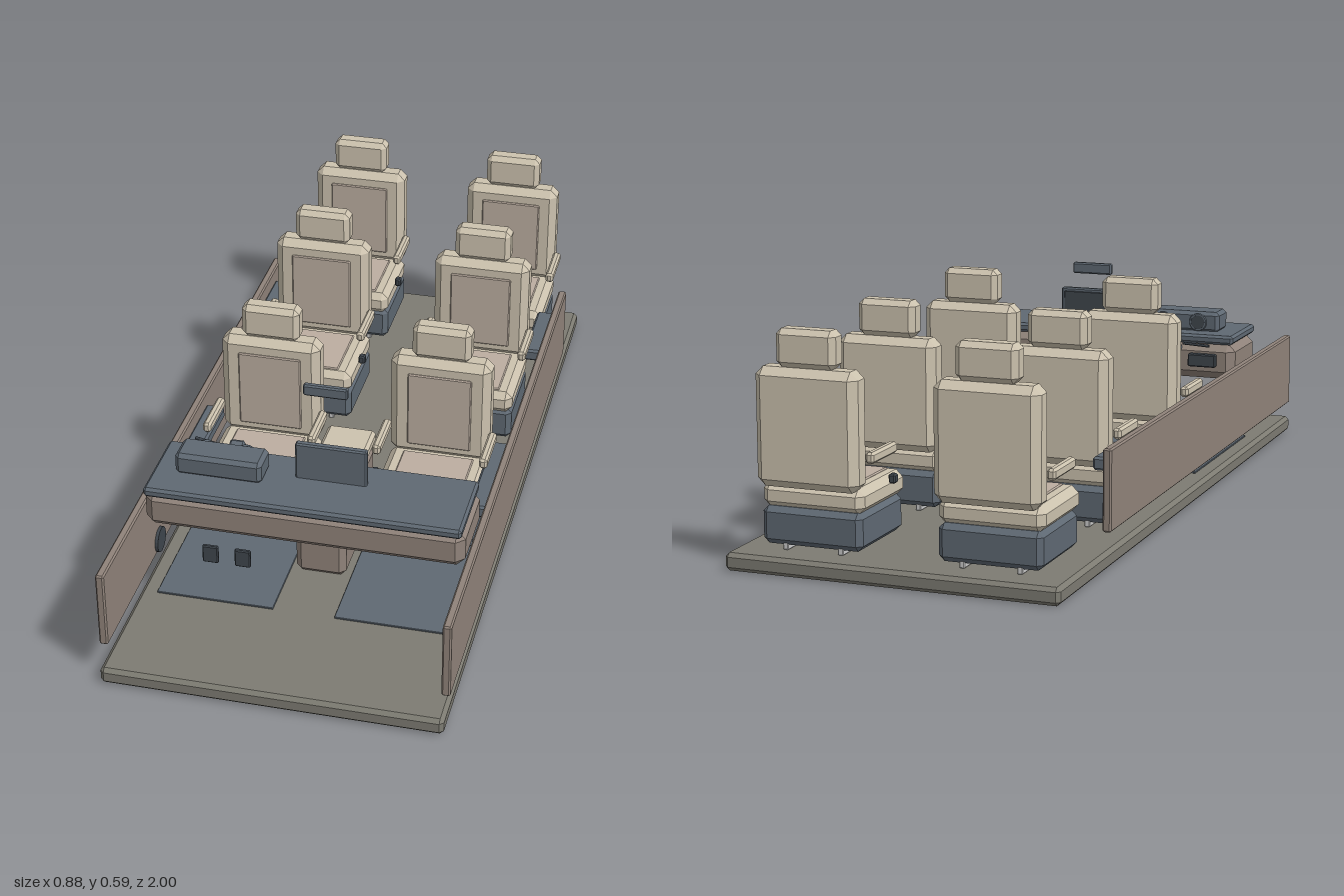
import * as THREE from 'three';
import { ConvexGeometry } from 'three/addons/geometries/ConvexGeometry.js';

const mat = (color) => new THREE.MeshStandardMaterial({ color, flatShading: true });
const floorMat = mat(0x7d7b72), cream = mat(0xcdc3af), insertMat = mat(0xbcaea1);
const brown = mat(0x90837a), slate = mat(0x5f6973), dark = mat(0x3f464d), metal = mat(0xcccccc);

// Box with every edge cut at 45 degrees, given by its min and max on each axis
function block(parent, name, material, [x0, x1], [y0, y1], [z0, z1], c = 0.004) {
  const h = [(x1 - x0) / 2, (y1 - y0) / 2, (z1 - z0) / 2];
  const pts = [];
  for (const sx of [-1, 1]) for (const sy of [-1, 1]) for (const sz of [-1, 1]) {
    for (let full = 0; full < 3; full++) {
      const d = h.map((v, i) => (i === full ? v : v - c));
      pts.push(new THREE.Vector3(sx * d[0], sy * d[1], sz * d[2]));
    }
  }
  const mesh = new THREE.Mesh(new ConvexGeometry(pts), material);
  mesh.position.set((x0 + x1) / 2, (y0 + y1) / 2, (z0 + z1) / 2);
  mesh.name = name;
  parent.add(mesh);
  return mesh;
}

function disc(parent, name, material, r, depth, x, y, z, axis) {
  const geo = new THREE.CylinderGeometry(r, r, depth, 20);
  if (axis === 'x') geo.rotateZ(Math.PI / 2);
  if (axis === 'z') geo.rotateX(Math.PI / 2);
  const mesh = new THREE.Mesh(geo, material);
  mesh.name = name;
  mesh.position.set(x, y, z);
  parent.add(mesh);
  return mesh;
}

// One seat, its origin on the floor below the backrest; side is the sign of x
function seat(side) {
  const g = new THREE.Group();
  g.name = 'seat';
  for (const x of [-0.073, 0.073])
    block(g, 'seatRail', metal, [x - 0.007, x + 0.007], [0.045, 0.068], [0, 0.225], 0.002);
  block(g, 'seatBase', slate, [-0.132, 0.132], [0.058, 0.152], [-0.01, 0.238], 0.014);
  block(g, 'cushion', cream, [-0.134, 0.134], [0.146, 0.21], [-0.005, 0.25], 0.018);
  block(g, 'cushionInsert', insertMat, [-0.095, 0.095], [0.2, 0.214], [0.035, 0.228], 0.003);
  block(g, 'backrest', cream, [-0.134, 0.134], [0.205, 0.498], [-0.037, 0.038], 0.02);
  block(g, 'backrestInsert', insertMat, [-0.085, 0.085], [0.24, 0.455], [0.03, 0.043], 0.003);
  block(g, 'headrest', cream, [-0.078, 0.078], [0.498, 0.592], [-0.03, 0.03], 0.014);
  for (const s of [-1, 1]) {
    const x = s * 0.142;
    block(g, 'armrest', cream, [x - 0.011, x + 0.011], [0.27, 0.298], [0.02, 0.162], 0.006);
  }
  const bx = -side * 0.146;
  block(g, 'buckle', dark, [bx - 0.009, bx + 0.009], [0.196, 0.22], [0.138, 0.16], 0.004);
  return g;
}

function sidePart(g, s) {
  const span = (a, b) => (s > 0 ? [a, b] : [-b, -a]);
  block(g, 'sidePanel', brown, span(0.416, 0.438), [0.094, 0.3], [-0.67, 0.965], 0.004);
  block(g, 'frontDoorArmrest', slate, span(0.367, 0.418), [0.228, 0.262], [0.1, 0.41], 0.006);
  block(g, 'rearDoorArmrest', slate, span(0.367, 0.418), [0.228, 0.262], [-0.605, -0.38], 0.006);
  disc(g, 'speaker', dark, 0.034, 0.008, s * 0.412, 0.126, 0.55, 'x');
  block(g, 'floorMat', slate, span(0.08, 0.386), [0.045, 0.05], [0.18, 0.67], 0.001);
}

function dashboard() {
  const g = new THREE.Group();
  g.name = 'dashboard';
  block(g, 'dashBody', brown, [-0.408, 0.408], [0.253, 0.354], [0.455, 0.675], 0.022);
  block(g, 'dashTop', slate, [-0.403, 0.403], [0.352, 0.378], [0.46, 0.69], 0.007);
  // Instruments facing the cabin
  block(g, 'instrumentHood', slate, [-0.345, -0.122], [0.374, 0.433], [0.517, 0.605], 0.01);
  for (const x of [-0.285, -0.182]) {
    const rim = new THREE.Mesh(new THREE.TorusGeometry(0.022, 0.004, 6, 20), slate);
    rim.name = 'gaugeRim';
    rim.position.set(x, 0.404, 0.515);
    g.add(rim);
    disc(g, 'gauge', dark, 0.021, 0.008, x, 0.404, 0.516, 'z');
  }
  block(g, 'screenFrame', slate, [-0.047, 0.136], [0.374, 0.478], [0.534, 0.554], 0.004);
  block(g, 'screenFace', dark, [-0.037, 0.126], [0.386, 0.468], [0.53, 0.536], 0.001);
  for (const x of [-0.32, 0, 0.32])
    block(g, 'airVent', dark, [x - 0.04, x + 0.04], [0.29, 0.326], [0.435, 0.46], 0.003);
  // Steering column and stalk
  const column = block(g, 'steeringColumn', slate, [-0.255, -0.215], [0.332, 0.36], [0.405, 0.475], 0.005);
  column.rotation.x = 0.6;
  const stalk = disc(g, 'stalk', dark, 0.004, 0.085, -0.31, 0.357, 0.418, 'x');
  stalk.rotation.y = -0.25;
  // Pedals
  for (const x of [-0.279, -0.193])
    block(g, 'pedal', dark, [x - 0.021, x + 0.021], [0.074, 0.125], [0.54, 0.552], 0.003);
  return g;
}

function centreConsole() {
  const g = new THREE.Group();
  g.name = 'centreConsole';
  block(g, 'consoleBody', brown, [-0.066, 0.066], [0.045, 0.252], [0.17, 0.5], 0.016);
  block(g, 'consoleLid', cream, [-0.065, 0.065], [0.246, 0.28], [0.145, 0.282], 0.009);
  for (const z of [0.31, 0.37]) {
    const ring = new THREE.Mesh(new THREE.TorusGeometry(0.021, 0.003, 6, 20), brown);
    ring.name = 'cupHolderRim';
    ring.rotation.x = Math.PI / 2;
    ring.position.set(0, 0.252, z);
    g.add(ring);
    disc(g, 'cupHolder', dark, 0.02, 0.004, 0, 0.251, z, 'y');
  }
  block(g, 'consoleSwitch', dark, [-0.045, 0.045], [0.248, 0.262], [0.41, 0.43], 0.003);
  return g;
}

export function createModel() {
  const g = new THREE.Group();
  g.name = 'vehicleCabin';
  block(g, 'floor', floorMat, [-0.43, 0.43], [0, 0.045], [-1, 1], 0.01);
  for (const s of [-1, 1]) {
    sidePart(g, s);
    for (const z of [-0.923, -0.463, 0.09]) {
      const one = seat(s);
      one.position.set(s * 0.23, 0, z);
      g.add(one);
    }
  }
  g.add(dashboard(), centreConsole());
  block(g, 'rearViewMirror', slate, [-0.058, 0.057], [0.541, 0.572], [0.412, 0.43], 0.004);
  return g;
}
